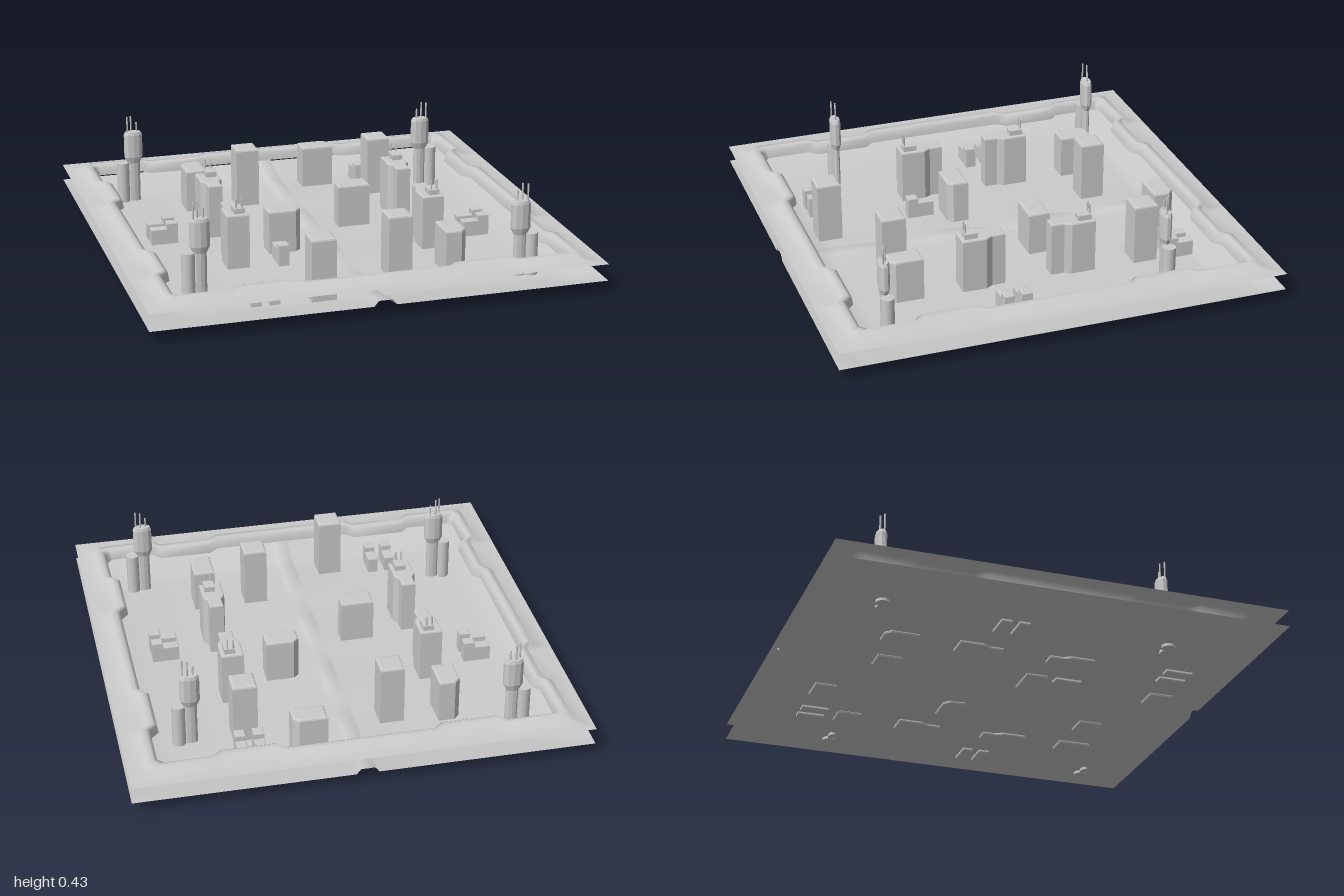
import * as THREE from 'three';

const mat = new THREE.MeshStandardMaterial({ color: 0xcccccc });
const sheetMat = new THREE.MeshStandardMaterial({ color: 0xcccccc, side: THREE.DoubleSide });

function add(parent, name, geometry, material = mat) {
  const mesh = new THREE.Mesh(geometry, material);
  mesh.name = name;
  parent.add(mesh);
  return mesh;
}

// Upright prism from a plan outline of [x, z] points, with softly bevelled edges
function prism(plan, y0, y1, bevel = 0.007) {
  const shape = new THREE.Shape(plan.map(([x, z]) => new THREE.Vector2(x, -z)));
  const geo = new THREE.ExtrudeGeometry(shape, {
    depth: y1 - y0 - 2 * bevel, bevelThickness: bevel, bevelSize: bevel,
    bevelOffset: -bevel, bevelSegments: 2,
  });
  return geo.rotateX(-Math.PI / 2).translate(0, y0 + bevel, 0);
}

// Rectangle plan; cut = [sx, sz] chamfers that one corner
function rect(w, d, cut) {
  const out = [];
  for (const [sx, sz] of [[-1, 1], [1, 1], [1, -1], [-1, -1]]) {
    const x = sx * w / 2, z = sz * d / 2, c = 0.025;
    if (cut && cut[0] === sx && cut[1] === sz) {
      const a = [x - sx * c, z], b = [x, z - sz * c];
      out.push(...(sx * sz > 0 ? [a, b] : [b, a]));
    } else out.push([x, z]);
  }
  return out;
}

function mast(parent, x, z, y0, y1) {
  add(parent, 'mast', new THREE.CylinderGeometry(0.004, 0.004, y1 - y0, 6))
    .position.set(x, (y0 + y1) / 2, z);
}

// Ground sheet: flat floor, rim rising to the edges, undulating ridge along the middle
function groundSheet() {
  const xs = [-1, -0.9, -0.78, -0.4, -0.05, -0.03, 0.03, 0.05, 0.4, 0.78, 0.9, 1];
  const geo = new THREE.PlaneGeometry(2, 2, xs.length - 1, 80).rotateX(-Math.PI / 2);
  const p = geo.attributes.position;
  for (let i = 0; i < p.count; i++) {
    const x = xs[i % xs.length], z = p.getZ(i);
    const m = Math.max(Math.abs(x), Math.abs(z));
    let y = 0.012 + 0.043 * Math.max(0, (m - 0.78) / 0.22);
    if (Math.abs(x) < 0.04) {
      y += Math.abs(z) > 0.645 ? 0.024 : 0.014 - 0.01 * Math.cos(2 * Math.PI * z / 0.43);
    }
    p.setXYZ(i, x, y, z);
  }
  geo.computeVertexNormals();
  return geo;
}

// Perimeter: flat skirt, then a raised wall with inward jogs and chamfered corners
function perimeterWall() {
  const rings = [[1, 0.13], [0.93, 0.13], [0.91, 0.156], [0.885, 0.156], [0.868, 0.145], [0.862, 0.106]];
  const half = [[0.32, 0], [0.36, 0.035], [0.6, 0.035], [0.635, 0]];
  const pos = [], idx = [];
  let n = 0;
  rings.forEach(([d, y], r) => {
    const square = r === 0, e = square ? 0.9 : d - 0.025, c = square ? 1 : d - 0.0125;
    const side = [[-c, -c], [-e, -d]];
    for (const [t, o] of [...half].reverse()) side.push([-t, square ? -d : o - d]);
    for (const [t, o] of half) side.push([t, square ? -d : o - d]);
    side.push([e, -d]);
    n = side.length * 4;
    for (let k = 0; k < 4; k++) {
      for (let [x, z] of side) {
        for (let q = 0; q < k; q++) [x, z] = [-z, x];
        pos.push(x, y, z);
      }
    }
  });
  for (let r = 0; r < rings.length - 1; r++) {
    for (let i = 0; i < n; i++) {
      const a = r * n + i, b = r * n + (i + 1) % n;
      idx.push(a, a + n, b, b, a + n, b + n);
    }
  }
  const geo = new THREE.BufferGeometry();
  geo.setAttribute('position', new THREE.Float32BufferAttribute(pos, 3));
  geo.setIndex(idx);
  geo.computeVertexNormals();
  return geo;
}

// Slim tower with a widened head, a low round annex on its outer side, and masts
function tower(x, z) {
  const g = new THREE.Group();
  g.name = 'tower';
  const s = Math.sign(x);
  const body = new THREE.LatheGeometry([
    [0, 0], [0.03, 0], [0.03, 0.2], [0.045, 0.23], [0.045, 0.34], [0.038, 0.355], [0, 0.355],
  ].map(([r, y]) => new THREE.Vector2(r, y)), 10);
  body.scale(1, 1, 0.55);
  add(g, 'towerBody', body, new THREE.MeshStandardMaterial({ color: 0xcccccc, flatShading: true }))
    .position.x = -s * 0.018;
  const annex = add(g, 'towerAnnex', new THREE.CylinderGeometry(0.03, 0.03, 0.205, 12));
  annex.position.set(s * 0.034, 0.1025, 0);
  mast(g, s * 0.01, 0.008, 0.35, 0.43);
  mast(g, -s * 0.01, -0.006, 0.35, 0.43);
  mast(g, -s * 0.035, 0, 0.35, 0.4);
  g.position.set(x, 0, z);
  return g;
}

// Block with a narrowed wing facing the middle, a roof hut and thin masts
function wingedBlock(x, z) {
  const g = new THREE.Group();
  g.name = 'wingedBlock';
  const s = Math.sign(z);
  let plan = [[-0.05, 0.1], [0.05, 0.1], [0.05, -0.01], [0.032, -0.04],
    [0.032, -0.1], [-0.032, -0.1], [-0.032, -0.04], [-0.05, -0.01]];
  if (s < 0) plan = plan.map(([a, b]) => [a, -b]).reverse();
  add(g, 'blockBody', prism(plan, 0, 0.26));
  add(g, 'roofHut', prism(rect(0.048, 0.06), 0.25, 0.287, 0.004)).position.set(0.01, 0, s * 0.055);
  mast(g, -0.005, s * 0.08, 0.28, 0.33);
  mast(g, 0.02, s * 0.08, 0.28, 0.33);
  g.position.set(x, 0, z);
  return g;
}

// Small two-step shed; turned lays it along x
function shed(x, z, turned) {
  const g = new THREE.Group();
  g.name = 'shed';
  add(g, 'shedLow', prism(rect(0.046, 0.075), 0, 0.085, 0.005)).position.z = -0.024;
  add(g, 'shedHigh', prism(rect(0.046, 0.05), 0, 0.11, 0.005)).position.z = 0.036;
  g.position.set(x, 0, z);
  if (turned) g.rotation.y = Math.PI / 2;
  return g;
}

export function createModel() {
  const model = new THREE.Group();
  model.name = 'walledDistrict';
  add(model, 'groundSheet', groundSheet(), sheetMat);
  add(model, 'perimeterWall', perimeterWall(), sheetMat);

  // Tall square blocks
  for (const [x, z] of [[-0.2, -0.55], [0.45, -0.55], [0.2, 0.54], [-0.2, 0.725]]) {
    add(model, 'tallBlock', prism(rect(0.108, 0.11), 0, 0.29, 0.01)).position.set(x, 0, z);
  }
  // Lower oblong blocks with one chamfered corner
  for (const [x, z, w, d, cut] of [
    [0.2, -0.735, 0.15, 0.097, [1, -1]], [0.2, -0.13, 0.15, 0.097, [-1, -1]],
    [-0.2, 0.12, 0.15, 0.097, [1, 1]], [-0.45, -0.565, 0.097, 0.15, [-1, -1]],
    [0.445, 0.555, 0.097, 0.15, [1, 1]],
  ]) {
    add(model, 'lowBlock', prism(rect(w, d, cut), 0, 0.21, 0.009)).position.set(x, 0, z);
  }
  for (const x of [-0.45, 0.45]) {
    for (const z of [-0.21, 0.205]) model.add(wingedBlock(x, z));
  }
  for (const [x, z] of [[-0.72, -0.73], [0.7, -0.56], [-0.7, 0.55], [0.72, 0.72]]) {
    model.add(tower(x, z));
  }
  // Sheds, mostly in pairs
  for (const [x, z, turned] of [
    [0.41, -0.715], [0.49, -0.715], [-0.49, 0.7], [-0.41, 0.7], [-0.25, 0.27],
    [-0.695, -0.19, true], [-0.695, -0.11, true], [0.695, 0.1, true], [0.695, 0.18, true],
  ]) model.add(shed(x, z, turned));
  return model;
}
